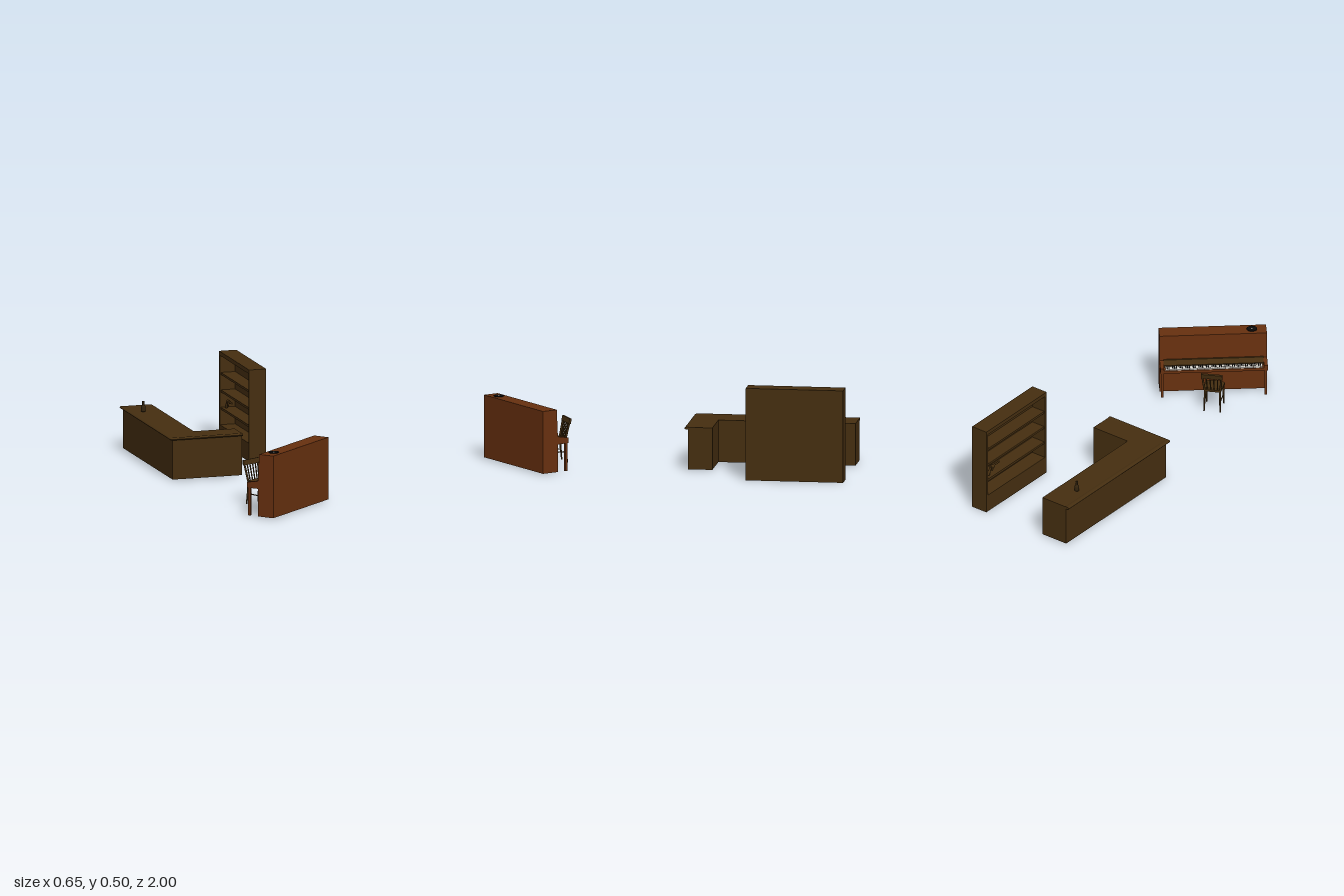
import * as THREE from 'three';

const mat = (name, color, side = THREE.FrontSide) => {
  const m = new THREE.MeshStandardMaterial({ color, side });
  m.name = name;
  return m;
};

export function createModel() {
  const oak = mat('dark oak', 0x452e10);
  const mahogany = mat('mahogany', 0x67300f);
  const ivory = mat('ivory', 0xe6e4dc);
  const black = mat('black', 0x0a0a0a);
  const bottleGlass = mat('bottle glass', 0x33240e, THREE.DoubleSide);

  const root = new THREE.Group();
  const group = (name, parent = root) => {
    const g = new THREE.Group();
    g.name = name;
    parent.add(g);
    return g;
  };
  const add = (parent, name, geo, material) => {
    const m = new THREE.Mesh(geo, material);
    m.name = name;
    parent.add(m);
    return m;
  };
  // box given by its minimum and maximum corners
  const box = (parent, name, material, a, b) => {
    const m = add(parent, name, new THREE.BoxGeometry(b[0] - a[0], b[1] - a[1], b[2] - a[2]), material);
    m.position.set((a[0] + b[0]) / 2, (a[1] + b[1]) / 2, (a[2] + b[2]) / 2);
    return m;
  };
  // tapered rod between two points
  const rod = (parent, name, material, a, b, r0, r1 = r0, sides = 10) => {
    const p = new THREE.Vector3(...a), q = new THREE.Vector3(...b);
    const m = add(parent, name, new THREE.CylinderGeometry(r1, r0, p.distanceTo(q), sides), material);
    m.position.copy(p).lerp(q, 0.5);
    m.quaternion.setFromUnitVectors(new THREE.Vector3(0, 1, 0), q.sub(p).normalize());
    return m;
  };
  // side profile of [z, y] points, extruded along x
  const sideProfile = (parent, name, material, pts, x0, x1) => {
    const shape = new THREE.Shape(pts.map(p => new THREE.Vector2(...p)));
    const geo = new THREE.ExtrudeGeometry(shape, { depth: x1 - x0, bevelEnabled: false });
    geo.rotateY(-Math.PI / 2).translate(x1, 0, 0);
    return add(parent, name, geo, material);
  };
  const lathe = (parent, name, material, pts, sides = 20) =>
    add(parent, name, new THREE.LatheGeometry(pts.map(p => new THREE.Vector2(...p)), sides), material);

  // L-shaped counter with a rounded nosing along its outer edges
  const counter = group('counter');
  box(counter, 'counterLongBody', oak, [-0.31, 0.005, -1], [-0.15, 0.222, -0.13]);
  box(counter, 'counterShortBody', oak, [-0.15, 0.005, -0.26], [0.08, 0.222, -0.13]);
  box(counter, 'counterLongTop', oak, [-0.315, 0.22, -1], [-0.15, 0.233, -0.125]);
  box(counter, 'counterShortTop', oak, [-0.15, 0.22, -0.26], [0.08, 0.233, -0.125]);
  const sideNose = add(counter, 'sideNosing',
    new THREE.CylinderGeometry(1, 1, 0.875, 16).scale(0.015, 1, 0.0075).rotateX(Math.PI / 2), oak);
  sideNose.geometry.dispose();
  sideNose.geometry = new THREE.CylinderGeometry(1, 1, 0.875, 16).rotateX(Math.PI / 2).scale(0.015, 0.0075, 1);
  sideNose.position.set(-0.313, 0.2275, -0.5625);
  const frontNose = add(counter, 'frontNosing',
    new THREE.CylinderGeometry(1, 1, 0.393, 16).rotateZ(Math.PI / 2).scale(1, 0.0075, 0.015), oak);
  frontNose.position.set(-0.1165, 0.2275, -0.125);
  const corner = add(counter, 'cornerNosing', new THREE.SphereGeometry(1, 16, 10).scale(0.015, 0.0075, 0.015), oak);
  corner.position.set(-0.313, 0.2275, -0.125);

  // bottle standing on the counter
  const bottle = lathe(root, 'bottle', bottleGlass, [[0, 0], [0.012, 0], [0.0125, 0.003], [0.0125, 0.024],
    [0.011, 0.029], [0.006, 0.034], [0.0055, 0.05], [0.007, 0.051], [0.007, 0.056], [0, 0.056]]);
  bottle.position.set(-0.25, 0.234, -0.83);

  // bookcase, open towards the counter
  const shelf = group('bookcase');
  box(shelf, 'bookcaseBack', oak, [0.315, 0, -1], [0.326, 0.5, -0.475]);
  box(shelf, 'bookcaseSide', oak, [0.23, 0, -1], [0.315, 0.5, -0.985]);
  box(shelf, 'bookcaseSide', oak, [0.23, 0, -0.49], [0.315, 0.5, -0.475]);
  box(shelf, 'bookcaseTop', oak, [0.23, 0.478, -0.985], [0.315, 0.5, -0.49]);
  box(shelf, 'bookcasePlinth', oak, [0.23, 0, -0.985], [0.315, 0.1, -0.49]);
  for (const y of [0.195, 0.29, 0.385])
    box(shelf, 'shelfBoard', oak, [0.235, y - 0.012, -0.985], [0.315, y, -0.49]);

  // small pistol resting on a shelf
  const pistol = group('pistol', shelf);
  rod(pistol, 'barrel', oak, [0, 0.045, 0], [0, 0.045, 0.065], 0.005);
  rod(pistol, 'drum', oak, [0, 0.042, -0.008], [0, 0.042, 0.016], 0.01);
  rod(pistol, 'grip', oak, [0, 0.005, -0.032], [0, 0.044, -0.01], 0.008, 0.006);
  add(pistol, 'triggerGuard', new THREE.TorusGeometry(0.008, 0.0018, 6, 14).rotateY(Math.PI / 2), oak)
    .position.set(0, 0.026, 0.004);
  pistol.position.set(0.255, 0.195, -0.92);

  // upright piano: local +z is its back, the keys are on -z
  const piano = group('piano');
  piano.position.set(0.054, 0, 0.748);
  piano.rotation.y = 0.723;
  const W = 0.2875, F = -0.0815, B = 0.0815;
  sideProfile(piano, 'pianoCase', mahogany,
    [[B, 0.006], [B, 0.345], [-0.0065, 0.345], [-0.0135, 0.2], [-0.0135, 0.006]], -W, W);
  for (const s of [-1, 1]) {
    const x0 = s < 0 ? -W : W - 0.02;
    sideProfile(piano, 'keyCheek', mahogany,
      [[-0.0135, 0.156], [-0.0135, 0.198], [F, 0.186], [F, 0.156]], x0, x0 + 0.02);
    const lx = s * (W - 0.01);
    box(piano, 'pianoLeg', mahogany, [lx - 0.007, 0.005, F + 0.004], [lx + 0.007, 0.156, F + 0.018]);
  }
  box(piano, 'keyBed', mahogany, [-W + 0.02, 0.156, F], [W - 0.02, 0.172, -0.0135]);
  sideProfile(piano, 'fallboard', oak,
    [[-0.0135, 0.17], [-0.0135, 0.205], [-0.022, 0.205], [-0.044, 0.184], [-0.044, 0.17]], -W + 0.02, W - 0.02);

  // keyboard
  const keys = group('keyboard', piano);
  const count = 52, pitch = 0.52 / count;
  for (let i = 0; i < count; i++) {
    const x = -0.26 + i * pitch;
    box(keys, 'whiteKey', ivory, [x + 0.0004, 0.17, F + 0.004], [x + pitch - 0.0004, 0.178, -0.044]);
    if (i < count - 1 && ![2, 6].includes(i % 7))
      box(keys, 'blackKey', black, [x + pitch - 0.003, 0.176, -0.066], [x + pitch + 0.003, 0.182, -0.044]);
  }

  // round dish on the piano lid
  const dish = group('dish');
  dish.position.set(-0.078, 0.345, 0.915);
  lathe(dish, 'dishBowl', black, [[0, 0], [0.025, 0], [0.0285, 0.002], [0.0275, 0.0045], [0.024, 0.0045],
    [0.021, 0.003], [0.007, 0.003], [0, 0.003]], 28);
  add(dish, 'dishCentre', new THREE.CylinderGeometry(0.004, 0.005, 0.004, 14), ivory).position.y = 0.004;

  // chair: local +z faces the piano
  const chair = group('chair');
  chair.position.set(-0.058, 0, 0.61);
  chair.rotation.y = 0.49;
  const seat = new THREE.Shape();
  seat.moveTo(-0.045, -0.05);
  seat.lineTo(0.045, -0.05);
  seat.lineTo(0.054, 0.04);
  seat.quadraticCurveTo(0, 0.07, -0.054, 0.04);
  seat.closePath();
  const seatMesh = add(chair, 'seat',
    new THREE.ExtrudeGeometry(seat, { depth: 0.012, bevelEnabled: false, curveSegments: 10 }).rotateX(Math.PI / 2), oak);
  seatMesh.position.y = 0.132;
  for (const s of [-1, 1]) {
    rod(chair, 'frontLeg', oak, [s * 0.047, 0.002, 0.042], [s * 0.044, 0.122, 0.036], 0.004, 0.006);
    rod(chair, 'backLeg', oak, [s * 0.044, 0.002, -0.056], [s * 0.04, 0.124, -0.043], 0.004, 0.006);
    rod(chair, 'backPost', oak, [s * 0.043, 0.128, -0.045], [s * 0.053, 0.232, -0.068], 0.006, 0.005);
    rod(chair, 'sideStretcher', oak, [s * 0.046, 0.06, 0.04], [s * 0.042, 0.06, -0.05], 0.003);
  }
  for (const x of [-0.027, -0.009, 0.009, 0.027])
    rod(chair, 'backSpindle', oak, [x, 0.13, -0.046], [x * 1.15, 0.222, -0.066], 0.0035);
  const rail = box(chair, 'topRail', oak, [-0.058, 0.212, -0.073], [0.058, 0.24, -0.062]);
  rail.rotation.x = -0.2;

  return root;
}
